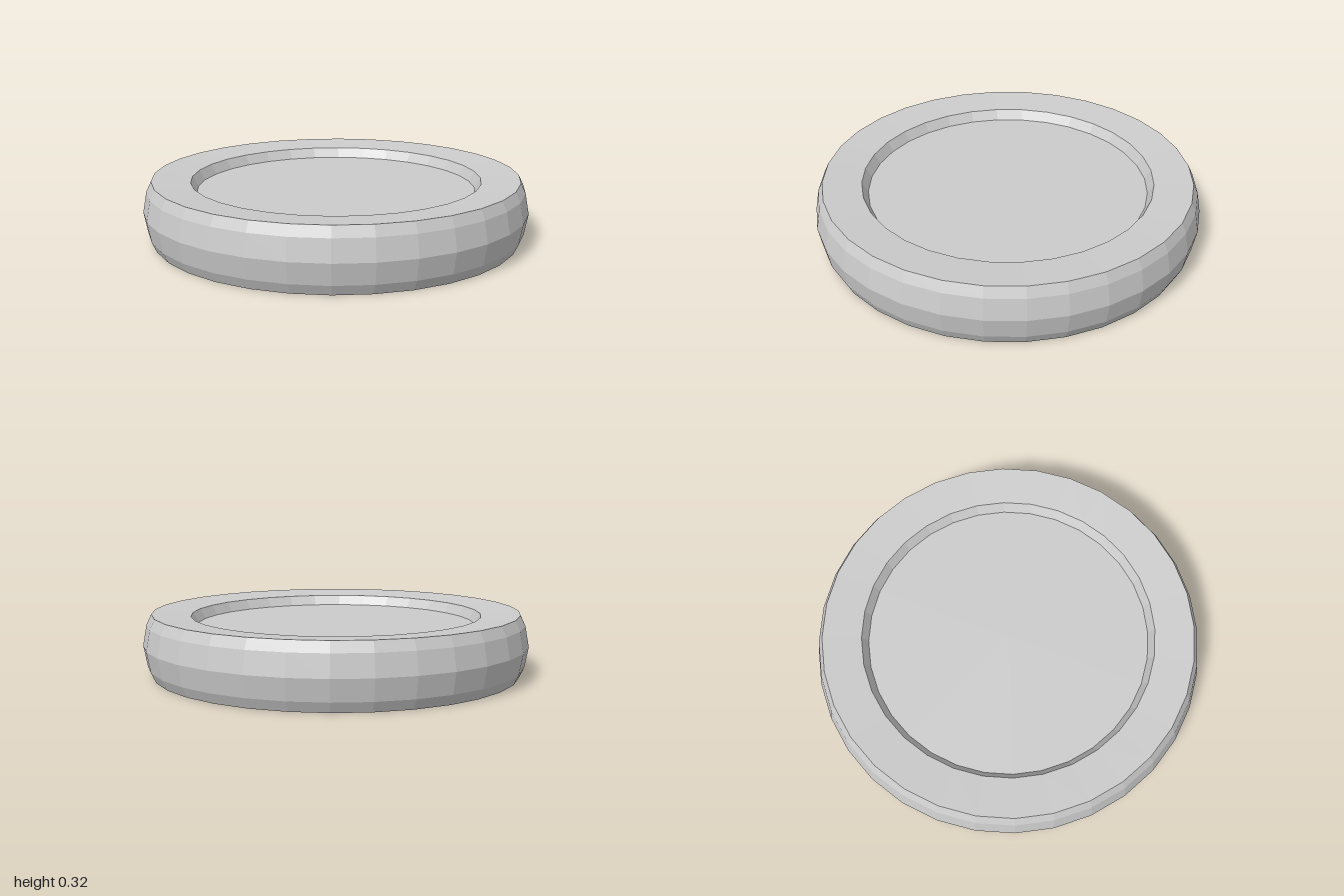
import * as THREE from 'three';

const SEGMENTS = 32;
const HEIGHT = 0.32;

export function createModel() {
  const group = new THREE.Group();
  group.name = 'recessedDisc';

  // Lower half of the profile, from the recess centre out to the bulging rim
  const lower = [
    [0, 0.068],      // recess floor centre
    [0.725, 0.068],  // recess floor edge
    [0.755, 0.016],  // recess lip
    [0.955, 0],      // outer edge of the gently sloped face
    [0.98, 0.052],   // rounded side
  ];
  // The upper half mirrors the lower one
  const upper = lower.map(([r, y]) => [r, HEIGHT - y]).reverse();
  const profile = [...lower, [1, HEIGHT / 2], ...upper]
    .map(([r, y]) => new THREE.Vector2(r, y));

  const disc = new THREE.Mesh(
    new THREE.LatheGeometry(profile, SEGMENTS),
    new THREE.MeshStandardMaterial({ color: 0xcccccc, flatShading: true })
  );
  disc.name = 'disc';
  group.add(disc);
  return group;
}
